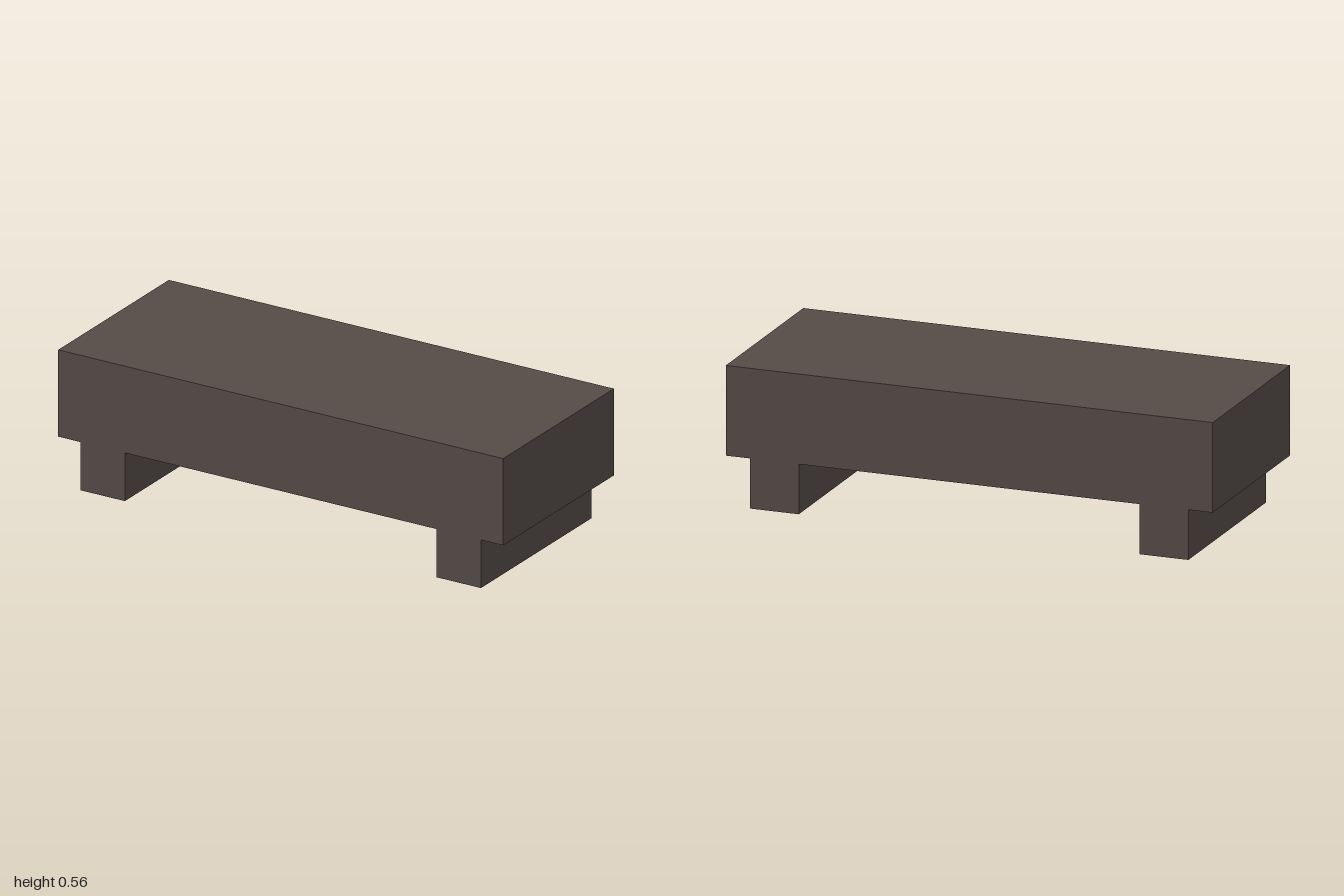
import * as THREE from 'three';

const WIDTH = 2, DEPTH = 0.8, TOP = 0.56, FOOT_HEIGHT = 0.2;
const FOOT_OUTER = 0.9, FOOT_INNER = 0.7;

export function createModel() {
  const group = new THREE.Group();
  group.name = 'lowBench';

  const darkBrown = new THREE.MeshStandardMaterial({ color: 0x544b46 });
  darkBrown.name = 'dark brown';

  // Right half of the front outline, from the middle of the underside to the top corner
  const half = [
    [FOOT_INNER, FOOT_HEIGHT],
    [FOOT_INNER, 0],
    [FOOT_OUTER, 0],
    [FOOT_OUTER, FOOT_HEIGHT],
    [WIDTH / 2, FOOT_HEIGHT],
    [WIDTH / 2, TOP],
  ];
  const mirrored = half.map(([x, y]) => [-x, y]).reverse();
  const outline = new THREE.Shape([...half, ...mirrored].map(([x, y]) => new THREE.Vector2(x, y)));

  // Thick slab and its two full-depth runners in one solid block
  const geometry = new THREE.ExtrudeGeometry(outline, { depth: DEPTH, bevelEnabled: false });
  geometry.translate(0, 0, -DEPTH / 2);
  const bench = new THREE.Mesh(geometry, darkBrown);
  bench.name = 'slabWithRunners';
  group.add(bench);

  return group;
}
